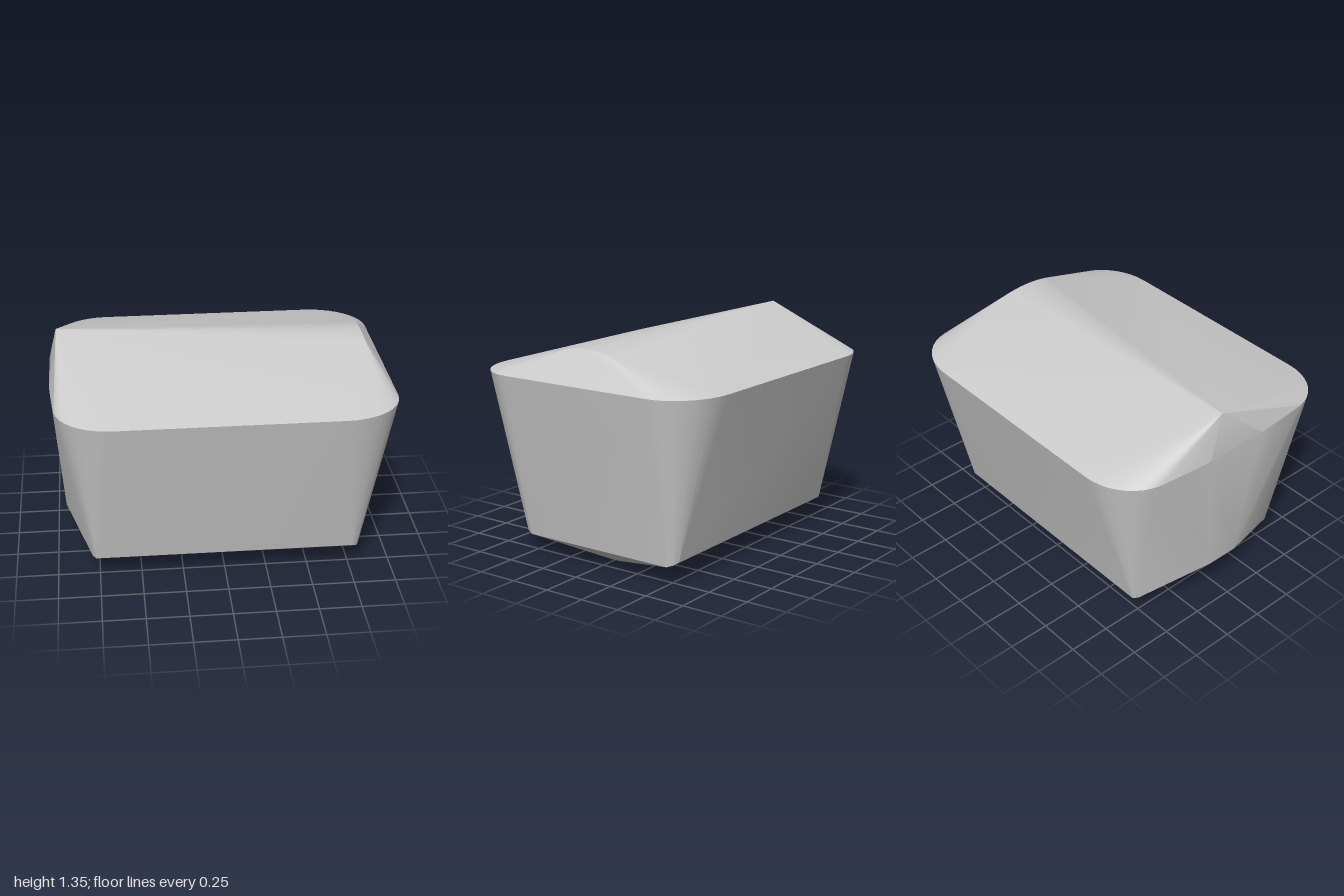
import * as THREE from 'three';
import { ConvexGeometry } from 'three/addons/geometries/ConvexGeometry.js';
import { toCreasedNormals } from 'three/addons/utils/BufferGeometryUtils.js';

export function createModel() {
  const group = new THREE.Group();
  const points = [];
  const add = (x, y, z) => points.push(new THREE.Vector3(x, y, z));
  const addPair = (x, y, z) => { add(x, y, z); add(x, y, -z); };

  // Widest rim: a rectangle with rounded corners, the right end slightly bowed
  const STEPS = 10;
  for (let i = 0; i <= STEPS; i++) {
    const a = (i / STEPS) * Math.PI / 2;
    const z = 0.5 + 0.3 * Math.sin(a);
    addPair(0.65 + 0.35 * Math.cos(a), 1.11, z);
    addPair(-0.65 - 0.325 * Math.cos(a), 1.11, z);
  }
  addPair(-0.99, 1.11, 0.35);
  addPair(-1, 1.11, 0.2);

  // Roof ridge: a sharp peak at one end, a small rounded arc at the other
  add(-0.95, 1.35, -0.08);
  [[0.87, 1.3, 0.03], [0.87, 1.297, 0.07], [0.872, 1.29, 0.12], [0.876, 1.278, 0.17]]
    .forEach((p) => addPair(...p));

  // Lower edge of the walls
  [[0.77, 0.14, 0.56], [0.795, 0.125, 0.54], [0.81, 0.11, 0.5],
    [-0.77, 0.14, 0.56], [-0.79, 0.14, 0.53], [-0.94, 0.25, 0.1]]
    .forEach((p) => addPair(...p));

  // Chamfered underside with a shallow keel
  [[-0.77, 0.1, 0.4], [-0.6, 0.055, 0.42], [0.62, 0.055, 0.42],
    [0.64, 0.004, 0.07], [0.64, 0, 0.03]]
    .forEach((p) => addPair(...p));

  const body = new THREE.Mesh(
    toCreasedNormals(new ConvexGeometry(points), 0.3),
    new THREE.MeshStandardMaterial({ color: 0xcccccc })
  );
  body.name = 'taperedBlock';
  group.add(body);
  return group;
}
